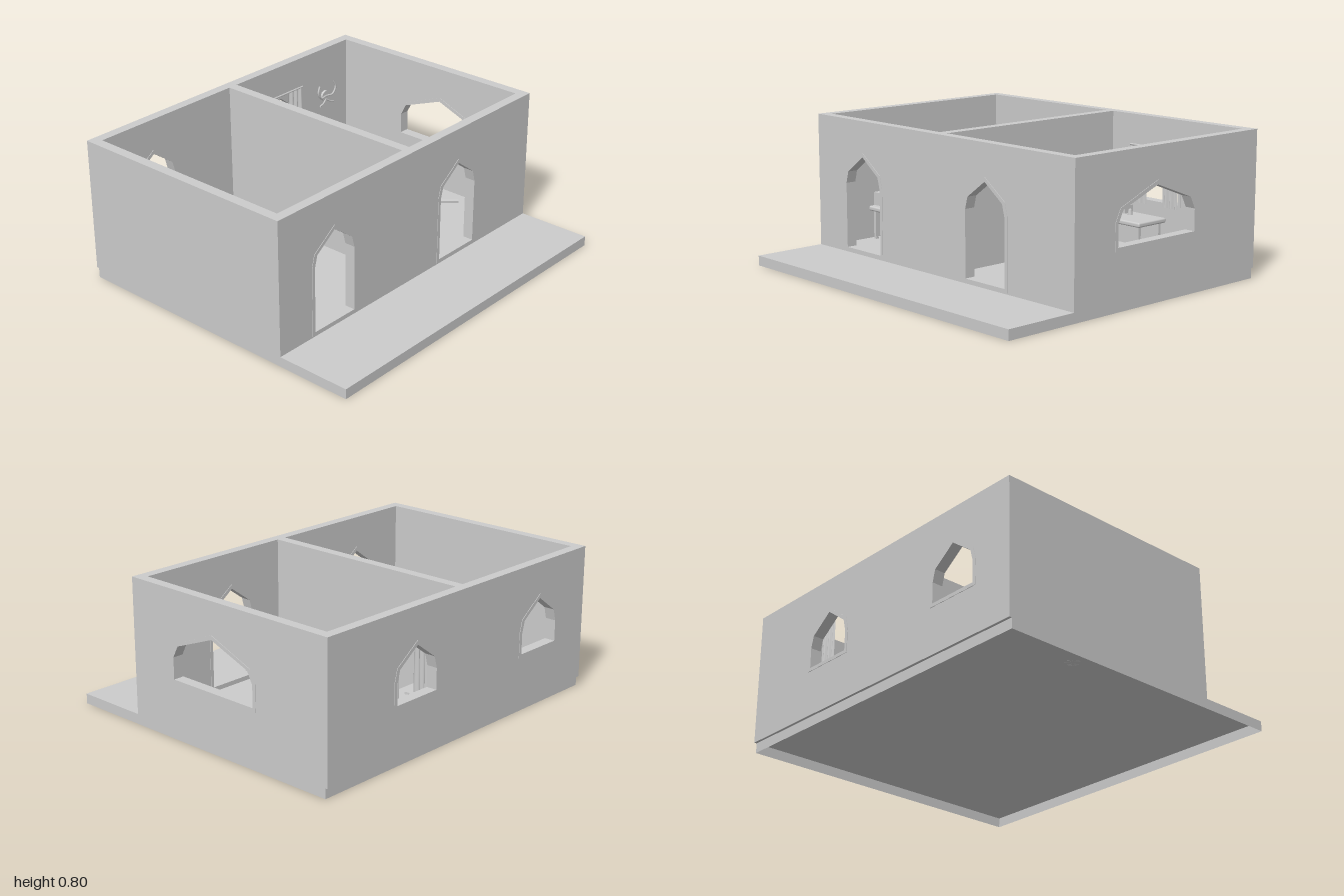
import * as THREE from 'three';
import { RoundedBoxGeometry } from 'three/addons/geometries/RoundedBoxGeometry.js';

const grey = new THREE.MeshStandardMaterial({ color: 0xcccccc, side: THREE.DoubleSide });
const FLOOR = 0.055, TOP = 0.795, T = 0.055;

export function createModel() {
  const model = new THREE.Group();

  const add = (name, geometry, x = 0, y = 0, z = 0, parent = model) => {
    const mesh = new THREE.Mesh(geometry, grey);
    mesh.name = name;
    mesh.position.set(x, y, z);
    parent.add(mesh);
    return mesh;
  };
  // Box given by its limits on each axis
  const block = (name, x0, x1, y0, y1, z0, z1, radius = 0) => {
    const s = [x1 - x0, y1 - y0, z1 - z0];
    const g = radius ? new RoundedBoxGeometry(...s, 2, radius) : new THREE.BoxGeometry(...s);
    return add(name, g, (x0 + x1) / 2, (y0 + y1) / 2, (z0 + z1) / 2);
  };
  const tube = (name, points, radius, parent = model) => add(name, new THREE.TubeGeometry(
    new THREE.CatmullRomCurve3(points.map(p => new THREE.Vector3(...p))), 48, radius, 6), 0, 0, 0, parent);

  // Floor slab with a porch strip, open underneath
  const slab = block('floorSlab', -0.865, 0.88, 0, FLOOR, -1, 1);
  const faces = Array.from(slab.geometry.index.array);
  slab.geometry.setIndex(faces.filter((_, i) => i < 18 || i >= 24));
  slab.geometry.clearGroups();

  // Pointed arch outline; grow widens it all round
  const arch = (c, w, bottom, grow = 0) => [
    [-w - grow, bottom - grow], [w + grow, bottom - grow], [w + grow, 0.44 + grow * 0.4],
    [w * 0.88 + grow, 0.505 + grow * 0.6], [0, 0.598 + grow * 1.3],
    [-w * 0.88 - grow, 0.505 + grow * 0.6], [-w - grow, 0.44 + grow * 0.4],
  ].map(([u, v]) => new THREE.Vector2(c + u, v));

  // Wall with arched openings, each lined by a thin frame
  const wall = (name, u0, u1, openings) => {
    const group = new THREE.Group();
    group.name = name;
    const shape = new THREE.Shape([[u0, FLOOR], [u1, FLOOR], [u1, TOP], [u0, TOP]].map(p => new THREE.Vector2(...p)));
    for (const [c, w, bottom] of openings) {
      shape.holes.push(new THREE.Path(arch(c, w, bottom)));
      const frame = new THREE.Shape(arch(c, w, bottom, 0.018));
      frame.holes.push(new THREE.Path(arch(c, w - 0.001, bottom + 0.001)));
      add('openingFrame', new THREE.ExtrudeGeometry(frame, { depth: T + 0.005, bevelEnabled: false }), 0, 0, -0.0025, group);
    }
    add('wallPanel', new THREE.ExtrudeGeometry(shape, { depth: T, bevelEnabled: false }), 0, 0, 0, group);
    model.add(group);
    return group;
  };
  const sides = [0.605, -0.375];
  const doorWall = wall('doorWall', -1, 1, sides.map(c => [c, 0.146, 0.08]));
  doorWall.rotation.y = -Math.PI / 2;
  doorWall.position.x = 0.46;
  const windowWall = wall('windowWall', -1, 1, sides.map(c => [c, 0.146, 0.325]));
  windowWall.rotation.y = -Math.PI / 2;
  windowWall.position.x = -0.825;
  wall('backWall', -0.825, 0.405, [[-0.115, 0.28, 0.322]]).position.z = -1;
  wall('frontWall', -0.825, 0.405, []).position.z = 1 - T;
  wall('dividingWall', -0.825, 0.405, []).position.z = -T / 2;

  // Front room bed
  block('bedFrame', -0.8, -0.555, FLOOR, 0.15, 0.36, 0.93);
  block('bedBlanket', -0.81, -0.545, 0.07, 0.165, 0.355, 0.8, 0.01);
  block('bedPillow', -0.735, -0.615, 0.15, 0.18, 0.815, 0.905, 0.012);

  // Back room bed with a rumpled blanket
  block('backBedFrame', -0.785, -0.21, FLOOR, 0.15, -0.895, -0.64);
  block('backBedPillow', -0.77, -0.68, 0.15, 0.18, -0.785, -0.665, 0.012);
  const blanket = new THREE.BoxGeometry(0.44, 0.07, 0.21, 28, 4, 14);
  const bp = blanket.attributes.position;
  for (let i = 0; i < bp.count; i++) {
    const x = bp.getX(i), y = bp.getY(i), z = bp.getZ(i);
    const fold = 0.006 * Math.sin(x * 30 + z * 18) + 0.004 * Math.sin(x * 11 - z * 40);
    bp.setXYZ(i, x + z * 0.08 + fold, y + fold * (y > 0 ? 1 : 0), z * (1.05 - x * 0.25) + fold);
  }
  blanket.computeVertexNormals();
  add('rumpledBlanket', blanket, -0.465, 0.15, -0.72);
  add('helmet', new THREE.SphereGeometry(0.048, 16, 10, 0, Math.PI * 2, 0, Math.PI * 0.6), -0.665, 0.17, -0.82);
  add('helmetBrim', new THREE.TorusGeometry(0.046, 0.005, 6, 20), -0.665, 0.16, -0.82).rotation.x = Math.PI / 2;

  // Desks, each with a top, four legs and a box on it
  const desk = (name, x0, x1, z0, z1) => {
    block(name + 'Top', x0, x1, 0.218, 0.246, z0, z1, 0.01);
    for (const x of [x0 + 0.03, x1 - 0.03]) for (const z of [z0 + 0.03, z1 - 0.03])
      block(name + 'Leg', x - 0.009, x + 0.009, FLOOR, 0.22, z - 0.009, z + 0.009);
  };
  desk('frontDesk', -0.235, 0.17, 0.735, 0.935);
  block('frontDeskBox', 0, 0.13, 0.245, 0.32, 0.87, 0.935);
  desk('backDesk', -0.82, -0.6, -0.44, -0.04);
  block('backDeskBox', -0.8, -0.735, 0.245, 0.29, -0.21, -0.08);
  [[-0.685, -0.19, 0.4], [-0.77, -0.15, -0.5]].forEach(([x, z, turn], i) => {
    add('book', new THREE.BoxGeometry(0.045, 0.012, 0.055), x, i ? 0.296 : 0.252, z).rotation.y = turn;
  });
  add('inkPot', new THREE.CylinderGeometry(0.01, 0.014, 0.032, 12), -0.735, 0.262, -0.25);

  // Round stool and an open bucket
  add('stoolSeat', new THREE.CylinderGeometry(0.05, 0.05, 0.02, 20), -0.71, 0.16, -0.55);
  for (let i = 0; i < 3; i++) {
    const a = i * Math.PI * 2 / 3;
    add('stoolLeg', new THREE.CylinderGeometry(0.007, 0.007, 0.1, 8), -0.71 + 0.033 * Math.cos(a), 0.105, -0.55 + 0.033 * Math.sin(a));
  }
  const bucket = [[0, 0.055], [0.04, 0.055], [0.052, 0.165], [0.038, 0.165], [0.034, 0.075], [0, 0.075]];
  add('bucket', new THREE.LatheGeometry(bucket.map(p => new THREE.Vector2(...p)), 16), -0.335, 0, 0.85);

  // Spiked ball with chains and a handle
  const flail = new THREE.Group();
  flail.name = 'spikedFlail';
  flail.position.set(-0.12, 0.125, -0.645);
  model.add(flail);
  add('ball', new THREE.SphereGeometry(0.045, 16, 12), 0, 0, 0, flail);
  const up = new THREE.Vector3(0, 1, 0);
  for (const [tilt, count] of [[0, 1], [0.9, 5], [1.57, 8], [2.3, 5]]) {
    for (let i = 0; i < count; i++) {
      const dir = new THREE.Vector3().setFromSphericalCoords(1, tilt, i * Math.PI * 2 / count);
      const spike = add('spike', new THREE.ConeGeometry(0.011, 0.03, 6), 0, 0, 0, flail);
      spike.position.copy(dir).multiplyScalar(0.056);
      spike.quaternion.setFromUnitVectors(up, dir);
    }
  }
  tube('chain', [[-0.45, 0.2, -0.765], [-0.38, 0.2, -0.74], [-0.3, 0.2, -0.64], [-0.24, 0.19, -0.62],
    [-0.19, 0.13, -0.69], [-0.2, 0.075, -0.58], [-0.15, 0.065, -0.51], [-0.1, 0.065, -0.54], [-0.12, 0.1, -0.63]], 0.006);
  tube('chainToHandle', [[-0.12, 0.1, -0.64], [-0.08, 0.07, -0.7], [-0.05, 0.065, -0.77], [0.01, 0.065, -0.82]], 0.006);
  tube('handle', [[-0.1, 0.08, -0.65], [0.0, 0.075, -0.753], [0.105, 0.07, -0.86]], 0.012);

  // Curtains and rail at the back room window
  for (const side of [-1, 1]) {
    const g = new THREE.PlaneGeometry(0.11, 0.32, 32, 8);
    const p = g.attributes.position;
    for (let i = 0; i < p.count; i++) p.setZ(i, 0.009 * Math.sin(p.getX(i) * 170) * (1 - p.getY(i)));
    g.computeVertexNormals();
    add('curtain', g, -0.805, 0.465, -0.365 + side * 0.113).rotation.y = Math.PI / 2;
  }
  tube('curtainRail', [[-0.805, 0.627, -0.54], [-0.805, 0.627, -0.365], [-0.805, 0.627, -0.18]], 0.006);

  // Wall trophy: round plate with curved horns
  add('trophyPlate', new THREE.CylinderGeometry(0.032, 0.032, 0.015, 16), -0.818, 0.5, -0.75).rotation.z = Math.PI / 2;
  for (const s of [-1, 1]) {
    tube('trophyHorn', [[-0.812, 0.5, -0.75], [-0.805, 0.5, -0.75 + s * 0.05], [-0.803, 0.54, -0.75 + s * 0.075],
      [-0.806, 0.58, -0.75 + s * 0.06]], 0.006);
    tube('trophyTine', [[-0.812, 0.48, -0.75], [-0.806, 0.46, -0.75 + s * 0.03], [-0.806, 0.45, -0.75 + s * 0.06]], 0.005);
  }
  return model;
}
